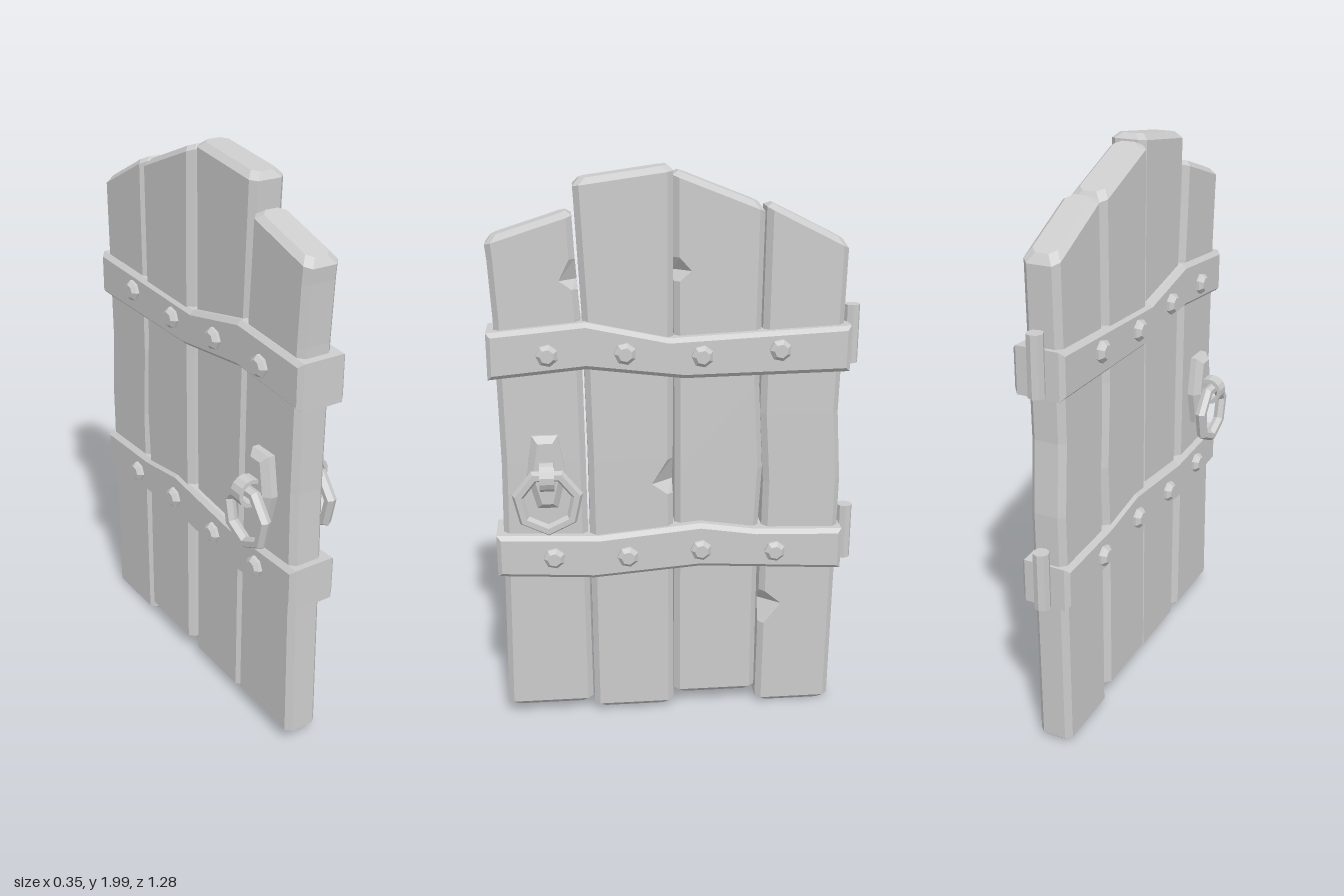
import * as THREE from 'three';

const mat = new THREE.MeshStandardMaterial({ color: 0xcccccc, flatShading: true });

function add(parent, name, geo, x = 0, y = 0, z = 0) {
  const m = new THREE.Mesh(geo, mat);
  m.name = name;
  m.position.set(x, y, z);
  parent.add(m);
  return m;
}

// Plank lofted upwards from chamfered cross-sections.
// edges: [y, zLeft, zRight]; chip: [side, yLow, yPoint, yHigh, reach]; tops: heights at both edges
function plankGeometry({ xs: [xA, xB], bottom, tops, edges, chip }) {
  const c = 0.02;
  const edgeAt = (y, k) => {
    let i = 0;
    while (i < edges.length - 2 && y > edges[i + 1][0]) i++;
    const a = edges[i], b = edges[i + 1];
    const t = THREE.MathUtils.clamp((y - a[0]) / (b[0] - a[0]), 0, 1);
    return THREE.MathUtils.lerp(a[k], b[k], t);
  };
  const ring = (y, { inset = 0, cut = 0, slope = null } = {}) => {
    const h = slope ? (slope[0] + slope[1]) / 2 : y;
    const zL = edgeAt(h, 1), zR = edgeAt(h, 2);
    const l = zL - inset, r = zR + inset, a = xA + inset, b = xB - inset;
    const cl = chip[0] > 0 ? cut : 0, cr = chip[0] < 0 ? cut : 0;
    return [
      [b, r + c + cr], [b, l - c - cl], [b - c - cl * 0.7, l], [a + c, l],
      [a, l - c], [a, r + c], [a + c, r], [b - c - cr * 0.7, r],
    ].map(([x, z]) => {
      const t = (zL - z) / (zL - zR);
      return [x, slope ? THREE.MathUtils.lerp(slope[0], slope[1], t) - (inset ? 0 : c) : y, z];
    });
  };
  const levels = [bottom + c, ...edges.slice(1, -1).map((e) => e[0]), chip[1], chip[2], chip[3]];
  levels.sort((p, q) => p - q);
  const rings = [
    ring(bottom, { inset: c }),
    ...levels.map((y) => ring(y, { cut: y === chip[2] ? chip[4] : 0 })),
    ring(0, { slope: tops }),
    ring(0, { slope: tops, inset: c }),
  ];
  const idx = [], n = 8, last = (rings.length - 1) * n;
  for (let i = 0; i < rings.length - 1; i++) {
    for (let j = 0; j < n; j++) {
      const a = i * n + j, b = i * n + (j + 1) % n;
      idx.push(a, a + n, b, b, a + n, b + n);
    }
  }
  for (let j = 1; j < n - 1; j++) idx.push(0, j, j + 1, last, last + j + 1, last + j);
  const g = new THREE.BufferGeometry();
  g.setAttribute('position', new THREE.Float32BufferAttribute(rings.flat(2), 3));
  g.setIndex(idx);
  const flat = g.toNonIndexed();
  flat.computeVertexNormals();
  return flat;
}

// Bevelled slab: outline of [z, y] points, extruded along x
function slab(points, x0, x1, bevel) {
  const shape = new THREE.Shape(points.map(([z, y]) => new THREE.Vector2(-z, y)));
  const g = new THREE.ExtrudeGeometry(shape, {
    depth: x1 - x0 - 2 * bevel, bevelEnabled: true, bevelSegments: 1,
    bevelSize: bevel, bevelThickness: bevel, bevelOffset: -bevel,
  });
  return g.translate(0, 0, x0 + bevel).rotateY(Math.PI / 2);
}

const lathe = (pts, sides) =>
  new THREE.LatheGeometry(pts.map((p) => new THREE.Vector2(...p)), sides);

export function createModel() {
  const door = new THREE.Group();
  door.name = 'plankDoor';

  // Four uneven planks, each with one chipped edge
  const planks = [
    { xs: [-0.06, 0.065], bottom: 0.04, tops: [1.77, 1.86], chip: [-1, 1.6, 1.63, 1.7, 0.04],
      edges: [[0, 0.63, 0.315], [1, 0.61, 0.32], [1.5, 0.615, 0.325], [1.8, 0.63, 0.345]] },
    { xs: [-0.05, 0.075], bottom: 0.02, tops: [1.955, 2.0], chip: [-1, 0.87, 0.91, 1.0, 0.055],
      edges: [[0, 0.31, 0.015], [1, 0.312, 0.017], [1.5, 0.32, 0.015], [1.95, 0.34, 0.015]] },
    { xs: [-0.067, 0.06], bottom: 0.055, tops: [1.985, 1.865], chip: [1, 1.62, 1.655, 1.7, 0.04],
      edges: [[0, 0.012, -0.29], [0.75, 0.01, -0.292], [0.95, 0.01, -0.302], [1.25, 0.01, -0.285], [1.9, 0.015, -0.292]] },
    { xs: [-0.06, 0.064], bottom: 0.005, tops: [1.88, 1.74], chip: [1, 0.34, 0.42, 0.47, 0.06],
      edges: [[0, -0.295, -0.572], [0.9, -0.306, -0.582], [1.15, -0.29, -0.565], [1.8, -0.297, -0.577]] },
  ];
  planks.forEach((p, i) => add(door, `plank${i + 1}`, plankGeometry(p)));

  // Iron straps wrapping the planks
  const straps = [
    { name: 'upper', rivetY: [1.39, 1.39, 1.375, 1.39], hingeY: 1.42, hingeZ: -0.607,
      outline: [[0.64, 1.305], [0.31, 1.335], [-0.02, 1.295], [-0.59, 1.305],
        [-0.59, 1.465], [0.03, 1.435], [0.31, 1.495], [0.64, 1.465]] },
    { name: 'lower', rivetY: [0.655, 0.65, 0.665, 0.65], hingeY: 0.68, hingeZ: -0.615,
      outline: [[0.64, 0.585], [0.3, 0.565], [-0.08, 0.595], [-0.59, 0.565],
        [-0.59, 0.72], [-0.28, 0.73], [-0.08, 0.76], [0.28, 0.725], [0.64, 0.74]] },
  ];
  const rivetGeo = lathe([[0, 0], [0.038, 0], [0.038, 0.012], [0.024, 0.026], [0, 0.026]], 7);
  const rivetZ = [0.44, 0.18, -0.08, -0.345];
  for (const s of straps) {
    add(door, `${s.name}Strap`, slab(s.outline, -0.078, 0.1, 0.015));
    add(door, `${s.name}HingePin`, new THREE.CylinderGeometry(0.028, 0.028, 0.205, 8), 0.005, s.hingeY, s.hingeZ);
    rivetZ.forEach((z, i) => {
      add(door, `${s.name}RivetRight`, rivetGeo, 0.098, s.rivetY[i], z).rotation.z = -Math.PI / 2;
      add(door, `${s.name}RivetLeft`, rivetGeo, -0.076, s.rivetY[i], z).rotation.z = Math.PI / 2;
    });
  }

  // Handle plate, showing on both faces
  add(door, 'handlePlate', slab([[0.42, 0.835], [0.39, 0.96], [0.415, 1.1],
    [0.503, 1.1], [0.525, 0.96], [0.492, 0.835]].reverse(), -0.105, 0.097, 0.022));

  // Flat loop and seven-sided pull ring on each face
  const loopGeo = lathe([[0.036, -0.025], [0.05, -0.025], [0.05, 0.025], [0.036, 0.025], [0.036, -0.025]], 14)
    .rotateX(Math.PI / 2);
  const ringGeo = new THREE.TorusGeometry(0.104, 0.021, 6, 7).rotateZ(-Math.PI / 2).rotateY(Math.PI / 2);
  for (const s of [1, -1]) {
    add(door, 'handleLoop', loopGeo, s * 0.128, 0.97, 0.455);
    add(door, 'pullRing', ringGeo, s * 0.132, 0.88, 0.455);
  }
  return door;
}
